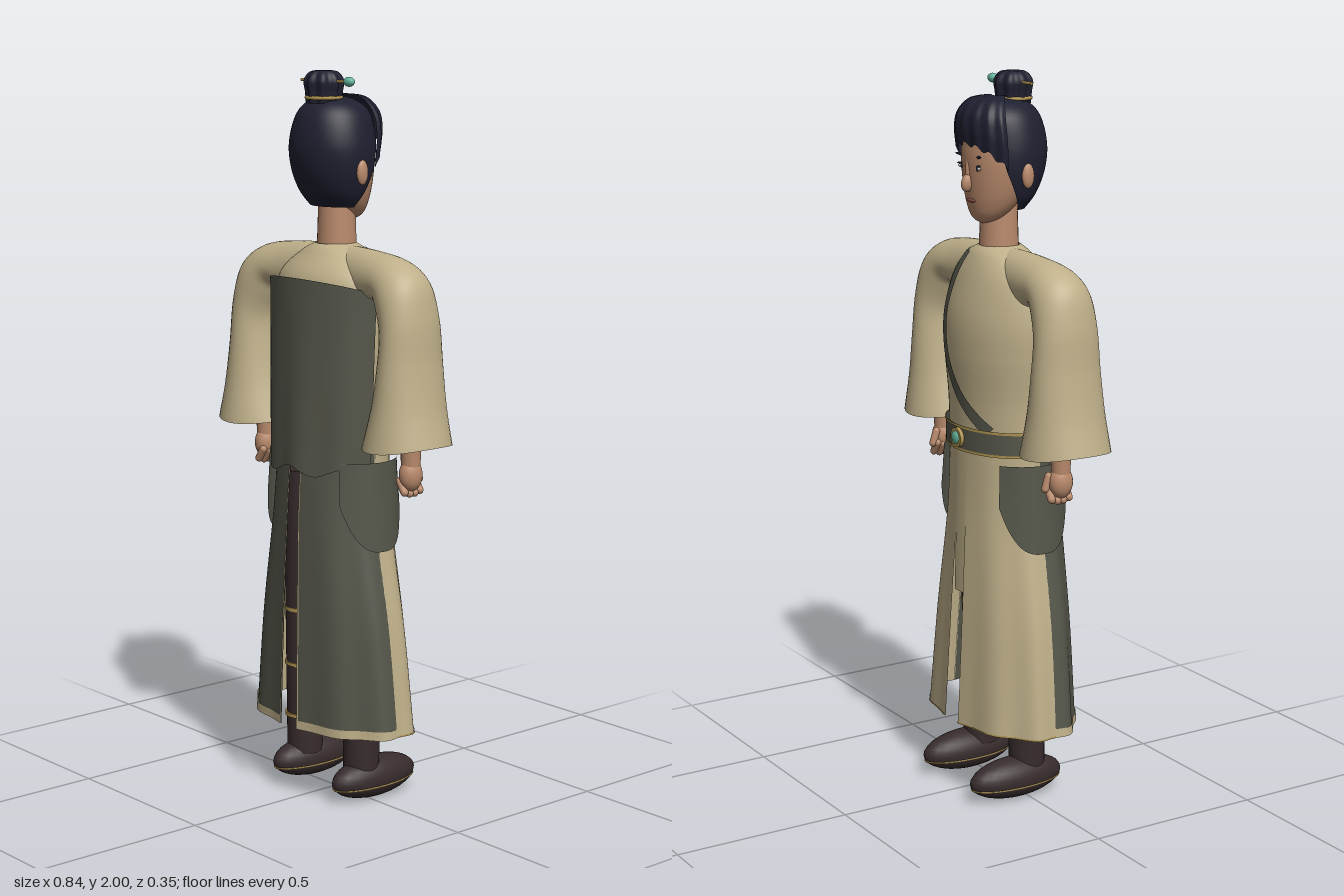
import * as THREE from 'three';
import { ParametricGeometry } from 'three/addons/geometries/ParametricGeometry.js';

const PI = Math.PI;

export function createModel() {
  const model = new THREE.Group();
  model.name = 'robedFigure';

  const paint = (name, color, side = THREE.FrontSide) => {
    const m = new THREE.MeshStandardMaterial({ color, side });
    m.name = name;
    return m;
  };
  const cream = paint('creamCloth', 0xbfb08a, THREE.DoubleSide);
  const olive = paint('oliveCloth', 0x55564a, THREE.DoubleSide);
  const black = paint('blackHair', 0x1f2030, THREE.DoubleSide);
  const skin = paint('skin', 0xb98a6c);
  const leather = paint('darkLeather', 0x382c2d);
  const gold = paint('gold', 0xb09350, THREE.DoubleSide);
  const jade = paint('jade', 0x64b59c);
  const white = paint('eyeWhite', 0xd8d2c8);
  const lip = paint('lip', 0x8c5148);

  const add = (name, geo, mat, pos = [0, 0, 0], scale = [1, 1, 1], rot = [0, 0, 0]) => {
    const mesh = new THREE.Mesh(geo, mat);
    mesh.name = name;
    mesh.position.set(...pos);
    mesh.scale.set(...scale);
    mesh.rotation.set(...rot);
    model.add(mesh);
    return mesh;
  };
  const ball = (name, mat, pos, scale, rot) => add(name, new THREE.SphereGeometry(1, 24, 16), mat, pos, scale, rot);

  // Smooth interpolation through a list of number rows
  const sample = (rows, t) => {
    const k = Math.min(Math.max(t, 0), 1) * (rows.length - 1);
    const i = Math.min(Math.floor(k), rows.length - 2), f = k - i;
    const at = j => rows[Math.min(Math.max(j, 0), rows.length - 1)];
    return rows[i].map((b, c) => {
      const a = at(i - 1)[c], d = at(i + 1)[c], e = at(i + 2)[c];
      return b + 0.5 * f * (d - a + f * (2 * a - 5 * b + 4 * d - e + f * (3 * (b - d) + e - a)));
    });
  };

  // Shell through elliptical rows [y, halfWidth, frontZ, backZ], top to bottom.
  // Angle 0 faces the figure's front (-z), PI its back.
  const shell = (name, mat, rows, from = () => 0, to = () => 2 * PI, opt = {}) => {
    const { nu = 40, nv = 24, ripple = () => 0, dy = () => 0 } = opt;
    return add(name, new ParametricGeometry((u, v, p) => {
      const [y, rx, zf, zb] = sample(rows, v);
      const a = from(v) + (to(v) - from(v)) * u, r = 1 + ripple(a, v, u);
      p.set(rx * r * Math.sin(a), y + dy(a, v, u), (zf + zb) / 2 - (zb - zf) / 2 * r * Math.cos(a));
    }, nu, nv), mat);
  };

  // Head and face
  shell('head', skin, [[1.925, 0.005, -0.01, 0.01], [1.88, 0.09, -0.088, 0.09], [1.8, 0.105, -0.102, 0.1],
    [1.73, 0.1, -0.1, 0.08], [1.66, 0.078, -0.092, 0.045], [1.615, 0.045, -0.078, 0.0], [1.598, 0.004, -0.05, -0.03]]);
  add('neck', new THREE.CylinderGeometry(0.05, 0.055, 0.15, 24), skin, [0, 1.575, -0.003]);
  ball('nose', skin, [0, 1.712, -0.1], [0.014, 0.026, 0.019], [0.3, 0, 0]);
  ball('noseBridge', skin, [0, 1.74, -0.098], [0.009, 0.035, 0.009]);
  ball('mouth', lip, [0, 1.664, -0.09], [0.022, 0.006, 0.006]);
  for (const s of [-1, 1]) {
    ball('ear', skin, [s * 0.122, 1.735, 0.012], [0.011, 0.033, 0.018]);
    ball('eyeWhite', white, [s * 0.04, 1.752, -0.09], [0.017, 0.006, 0.005], [0, s * 0.4, 0]);
    ball('iris', black, [s * 0.039, 1.752, -0.093], [0.007, 0.007, 0.004]);
    ball('upperLid', black, [s * 0.04, 1.759, -0.091], [0.019, 0.003, 0.005], [0, s * 0.4, 0]);
    ball('eyebrow', black, [s * 0.042, 1.782, -0.092], [0.022, 0.004, 0.005], [0, s * 0.4, s * 0.12]);
  }

  // Hair cap open over the face, then the ridged fringe
  const hairGap = v => sample([[0], [0], [0.15], [0.85], [1.1], [1.35], [1.6]], v)[0];
  shell('hairCap', black, [[1.935, 0.005, 0, 0.01], [1.922, 0.06, -0.05, 0.07], [1.885, 0.1, -0.09, 0.108],
    [1.81, 0.121, -0.102, 0.126], [1.74, 0.12, -0.1, 0.118], [1.68, 0.105, -0.08, 0.092], [1.64, 0.08, -0.055, 0.06]],
  hairGap, v => 2 * PI - hairGap(v), { nu: 56, nv: 30 });
  shell('fringe', black, [[1.938, 0.03, -0.02, 0.03], [1.932, 0.075, -0.075, 0.04], [1.9, 0.108, -0.107, 0.05],
    [1.86, 0.12, -0.114, 0.06], [1.815, 0.118, -0.108, 0.06]], () => -1.35, () => 1.35, {
    nu: 120, nv: 16, ripple: (a, v) => 0.035 * v * Math.cos(a * 16),
    dy: (a, v) => v * v * (0.006 * Math.cos(a * 16) - 0.035 * a * a),
  });

  // Topknot, its gold band and the hairpin
  const knot = shell('topknot', black, [[2.0, 0.002, -0.002, 0.002], [1.998, 0.033, -0.033, 0.033],
    [1.975, 0.05, -0.05, 0.05], [1.945, 0.047, -0.047, 0.047], [1.915, 0.045, -0.045, 0.045]],
  undefined, undefined, { nu: 72, nv: 16, ripple: a => 0.08 * Math.cos(8 * a) });
  knot.position.z = 0.042;
  add('knotBand', new THREE.TorusGeometry(0.047, 0.005, 8, 32), gold, [0, 1.929, 0.042], undefined, [PI / 2, 0, 0]);
  for (let i = 0; i < 6; i++) {
    const a = i * PI / 3;
    add('knotOrnament', new THREE.BoxGeometry(0.018, 0.005, 0.007), gold,
      [0.022 * Math.cos(a), 1.996, 0.042 + 0.022 * Math.sin(a)], undefined, [0, -a, 0]);
  }
  add('hairpin', new THREE.CylinderGeometry(0.004, 0.004, 0.19, 10), gold, [0, 1.973, 0.04], undefined, [0, 0, PI / 2]);
  ball('pinBead', jade, [0.1, 1.973, 0.04], [0.018, 0.013, 0.013]);

  // Robe body
  const torso = [[1.54, 0.055, -0.055, 0.055], [1.515, 0.11, -0.078, 0.08], [1.45, 0.18, -0.104, 0.125],
    [1.35, 0.2, -0.128, 0.135], [1.25, 0.195, -0.132, 0.13], [1.12, 0.18, -0.124, 0.125], [0.98, 0.178, -0.12, 0.125]];
  shell('robeBody', cream, torso, undefined, undefined, { nu: 56, nv: 36 });

  // Olive lapel laid over the chest
  const chestZ = (x, y) => {
    let lo = 0, hi = 1;
    for (let i = 0; i < 24; i++) {
      const m = (lo + hi) / 2;
      if (sample(torso, m)[0] > y) lo = m; else hi = m;
    }
    const [, rx, zf, zb] = sample(torso, lo);
    return (zf + zb) / 2 - (zb - zf) / 2 * Math.sqrt(Math.max(0, 1 - (x / rx) ** 2));
  };
  const lapelPath = [[0.045, 1.525], [0.07, 1.45], [0.085, 1.35], [0.065, 1.24], [0.0, 1.14], [-0.11, 1.05]];
  add('lapel', new ParametricGeometry((u, v, p) => {
    const [x, y] = sample(lapelPath, v), [x2, y2] = sample(lapelPath, v + 0.01), [x1, y1] = sample(lapelPath, v - 0.01);
    const l = Math.hypot(x2 - x1, y2 - y1), w = (u - 0.5) * 0.034;
    const px = x - (y2 - y1) / l * w, py = y + (x2 - x1) / l * w;
    p.set(px, py, chestZ(px, py) - 0.006);
  }, 4, 40), olive);

  // Hanging back panel
  shell('backPanel', olive, [[1.455, 0.212, -0.152, 0.152], [1.3, 0.206, -0.158, 0.158], [1.1, 0.2, -0.164, 0.164],
    [0.935, 0.192, -0.168, 0.168]], () => 1.8, () => 2 * PI - 1.8, {
    nu: 60, ripple: (a, v) => 0.02 * v * Math.sin(9 * a),
    dy: (a, v) => -0.02 * (a - PI) ** 2 * (1 - v) + 0.012 * v * Math.cos(7 * (a - PI)),
  });

  // Wide sleeves: rows of [outerX, outerY, innerX, innerY, depth, centreZ]
  const sleeve = [[0.05, 1.537, 0.05, 1.4, 0.055, 0], [0.17, 1.531, 0.16, 1.385, 0.066, 0.005],
    [0.275, 1.513, 0.205, 1.4, 0.075, 0.008], [0.342, 1.465, 0.225, 1.37, 0.085, 0.01],
    [0.37, 1.37, 0.245, 1.31, 0.092, 0.01], [0.38, 1.25, 0.24, 1.23, 0.1, 0.01],
    [0.397, 1.13, 0.222, 1.13, 0.11, 0.012], [0.42, 1.035, 0.19, 1.025, 0.125, 0.014]];
  for (const s of [-1, 1]) {
    add('sleeve', new ParametricGeometry((u, v, p) => {
      const [ox, oy, ix, iy, d, z] = sample(sleeve, v), a = -s * u * 2 * PI, c = Math.cos(a) / 2;
      p.set(s * ((ox + ix) / 2 + (ox - ix) * c), (oy + iy) / 2 + (oy - iy) * c - 0.012 * v ** 8 * Math.sin(a) ** 2, z + d * Math.sin(a));
    }, 36, 36), cream);

    // Forearm and closed hand
    add('forearm', new THREE.CylinderGeometry(0.034, 0.026, 0.22, 16), skin, [s * 0.305, 1.08, 0]);
    ball('palm', skin, [s * 0.305, 0.945, 0], [0.029, 0.045, 0.034]);
    for (let i = 0; i < 4; i++)
      add('finger', new THREE.CapsuleGeometry(0.011, 0.034, 4, 10), skin,
        [s * 0.298, 0.907 + Math.abs(i - 1.5) * 0.005, -0.03 + i * 0.018], undefined, [0, 0, s * 0.6]);
    add('thumb', new THREE.CapsuleGeometry(0.011, 0.035, 4, 10), skin, [s * 0.293, 0.945, -0.036], undefined, [0.3, 0, 0]);
  }

  // Belt with gold rims and jade buckle
  const beltRing = (name, mat, y0, y1, o) => shell(name, mat, [[y1, 0.187 + o, -0.132 - o, 0.135 + o],
    [y0, 0.187 + o, -0.132 - o, 0.135 + o]], undefined, undefined, { nu: 56, nv: 2 });
  beltRing('belt', olive, 0.985, 1.055, 0);
  beltRing('beltRim', gold, 0.985, 0.992, 0.002);
  beltRing('beltRim', gold, 1.048, 1.055, 0.002);
  add('buckle', new THREE.CylinderGeometry(0.027, 0.027, 0.012, 24), gold, [0, 1.02, -0.136], undefined, [PI / 2, 0, 0]);
  ball('buckleStone', jade, [0, 1.02, -0.142], [0.018, 0.018, 0.007]);

  // Split skirt: cream front, olive back with cream hem and slit edges
  const skirt = [[1.0, 0.178, -0.122, 0.14], [0.8, 0.19, -0.126, 0.153], [0.5, 0.245, -0.142, 0.163], [0.21, 0.278, -0.158, 0.17]];
  const hemRows = [0.955, 1].map(t => sample(skirt, t)).map(([y, rx, zf, zb]) => [y, rx + 0.003, zf - 0.003, zb + 0.003]);
  const edgeRows = skirt.map(([y, rx, zf, zb]) => [y, rx + 0.003, zf - 0.003, zb + 0.003]);
  const fold = (a, v) => 0.025 * v * Math.cos(10 * a);
  const wide = (name, mat, rows, a, b, ripple = fold, nv = 28) =>
    shell(name, mat, rows, () => a, () => b, { nu: 36, nv, ripple });
  const hemFold = a => fold(a, 1);
  wide('frontSkirt', cream, skirt, 0.12, 1.62);
  wide('frontSkirt', cream, skirt, -1.62, -0.12);
  for (const [a, b, e0, e1] of [[1.6, PI - 0.12, PI - 0.14, PI - 0.12], [PI + 0.12, 2 * PI - 1.6, PI + 0.12, PI + 0.14]]) {
    wide('backSkirt', olive, skirt, a, b);
    wide('backHem', cream, hemRows, a, b, hemFold, 2);
    wide('slitEdge', cream, edgeRows, e0, e1);
  }
  for (const [a, b] of [[0.12, 1.6], [-1.6, -0.12]])
    wide('frontHemTrim', gold, [0.99, 1].map(t => sample(edgeRows, t)), a, b, hemFold, 2);
  wide('frontStrip', cream, [[1.0, 0.175, -0.12, 0.12], [0.58, 0.2, -0.13, 0.13]], -0.15, 0.15, () => 0);

  // Rounded side flaps below the belt
  for (const c of [PI / 2, -PI / 2])
    shell('sideFlap', olive, [[0.965, 0.205, -0.135, 0.158], [0.85, 0.209, -0.138, 0.16], [0.72, 0.214, -0.143, 0.164]],
      () => c - 0.78, () => c + 0.78, { dy: (a, v, u) => v * 0.13 * Math.abs(2 * u - 1) ** 3 });

  // Legs and boots
  for (const s of [-1, 1]) {
    const x = s * 0.128;
    add('leg', new THREE.CylinderGeometry(0.058, 0.05, 0.82, 24), leather, [x * 0.95, 0.49, 0.012]);
    for (const y of [0.19, 0.34, 0.5])
      add('legBand', new THREE.CylinderGeometry(0.056, 0.056, 0.01, 24), gold, [x * 0.95, y, 0.012]);
    ball('shoe', leather, [x, 0.058, -0.028], [0.057, 0.058, 0.145]);
    add('soleTrim', new THREE.TorusGeometry(1, 0.025, 6, 40), gold, [x, 0.042, -0.028], [0.0545, 0.139, 0.1], [PI / 2, 0, 0]);
  }

  return model;
}
